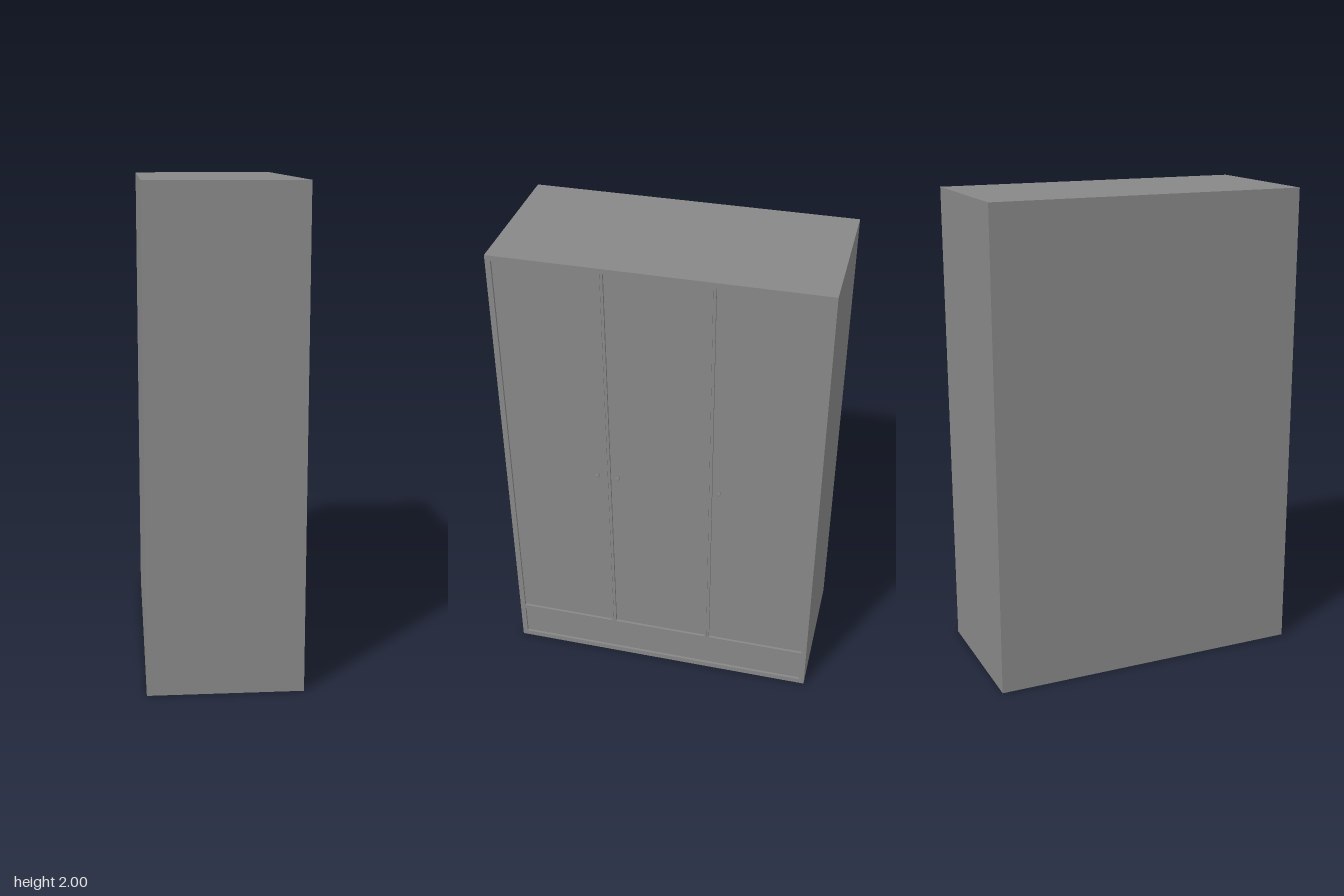
import * as THREE from 'three';

const material = new THREE.MeshStandardMaterial({ color: 0x888888 });

const BACK = -0.315, FRONT = 0.31, HALF_W = 0.665, HEIGHT = 2;
const BODY_FRONT = 0.28, PANEL_FRONT = 0.3, GROOVE_FRONT = 0.307;

// Openings in the front frame: [z min, z max, y min, y max]
const doors = [
  [0.226, 0.643, 0.19, 1.978],
  [-0.204, 0.206, 0.19, 1.978],
  [-0.643, -0.224, 0.19, 1.978],
];
const drawer = [-0.643, 0.643, 0.024, 0.168];
// Narrow grooves down the middle of the two uprights
const grooves = [0.216, -0.214].map(z => [z - 0.0015, z + 0.0015, 0.19, 1.978]);

function add(group, name, geometry, x = 0, y = 0, z = 0) {
  const mesh = new THREE.Mesh(geometry, material);
  mesh.name = name;
  mesh.position.set(x, y, z);
  group.add(mesh);
}

// Box filling a range in x and an opening in z and y
function slab(group, name, x0, x1, [z0, z1, y0, y1]) {
  add(group, name, new THREE.BoxGeometry(x1 - x0, y1 - y0, z1 - z0),
    (x0 + x1) / 2, (y0 + y1) / 2, (z0 + z1) / 2);
}

// Rectangle outline; shape x becomes -z once the frame is turned to face +x
function rectangle(Type, [z0, z1, y0, y1]) {
  const r = new Type();
  r.moveTo(-z1, y0).lineTo(-z0, y0).lineTo(-z0, y1).lineTo(-z1, y1).closePath();
  return r;
}

export function createModel() {
  const model = new THREE.Group();
  model.name = 'wardrobe';

  // Closed cabinet body
  slab(model, 'body', BACK, BODY_FRONT, [-HALF_W, HALF_W, 0, HEIGHT]);

  // Front frame with openings for the doors, the grooves and the drawer
  const outline = rectangle(THREE.Shape, [-HALF_W, HALF_W, 0, HEIGHT]);
  outline.holes = [...doors, ...grooves, drawer].map(o => rectangle(THREE.Path, o));
  const frame = new THREE.ExtrudeGeometry(outline, { depth: FRONT - BODY_FRONT, bevelEnabled: false });
  frame.rotateY(Math.PI / 2);
  add(model, 'frontFrame', frame, BODY_FRONT);

  // Inset doors, groove floors and drawer front
  doors.forEach((o, i) => slab(model, `door${i + 1}`, 0.26, PANEL_FRONT, o));
  grooves.forEach((o, i) => slab(model, `grooveFloor${i + 1}`, 0.26, GROOVE_FRONT, o));
  slab(model, 'drawerFront', 0.26, PANEL_FRONT, drawer);

  // Round knobs: a stem flaring to a flat cap
  const profile = [[0, 0], [0.006, 0], [0.006, 0.006], [0.009, 0.008], [0.009, 0.014], [0.008, 0.015], [0, 0.015]]
    .map(([r, h]) => new THREE.Vector2(r, h));
  const knob = new THREE.LatheGeometry(profile, 20).rotateZ(-Math.PI / 2);
  [0.262, 0.175, -0.254].forEach((z, i) => add(model, `knob${i + 1}`, knob, PANEL_FRONT, 1.022, z));

  return model;
}
